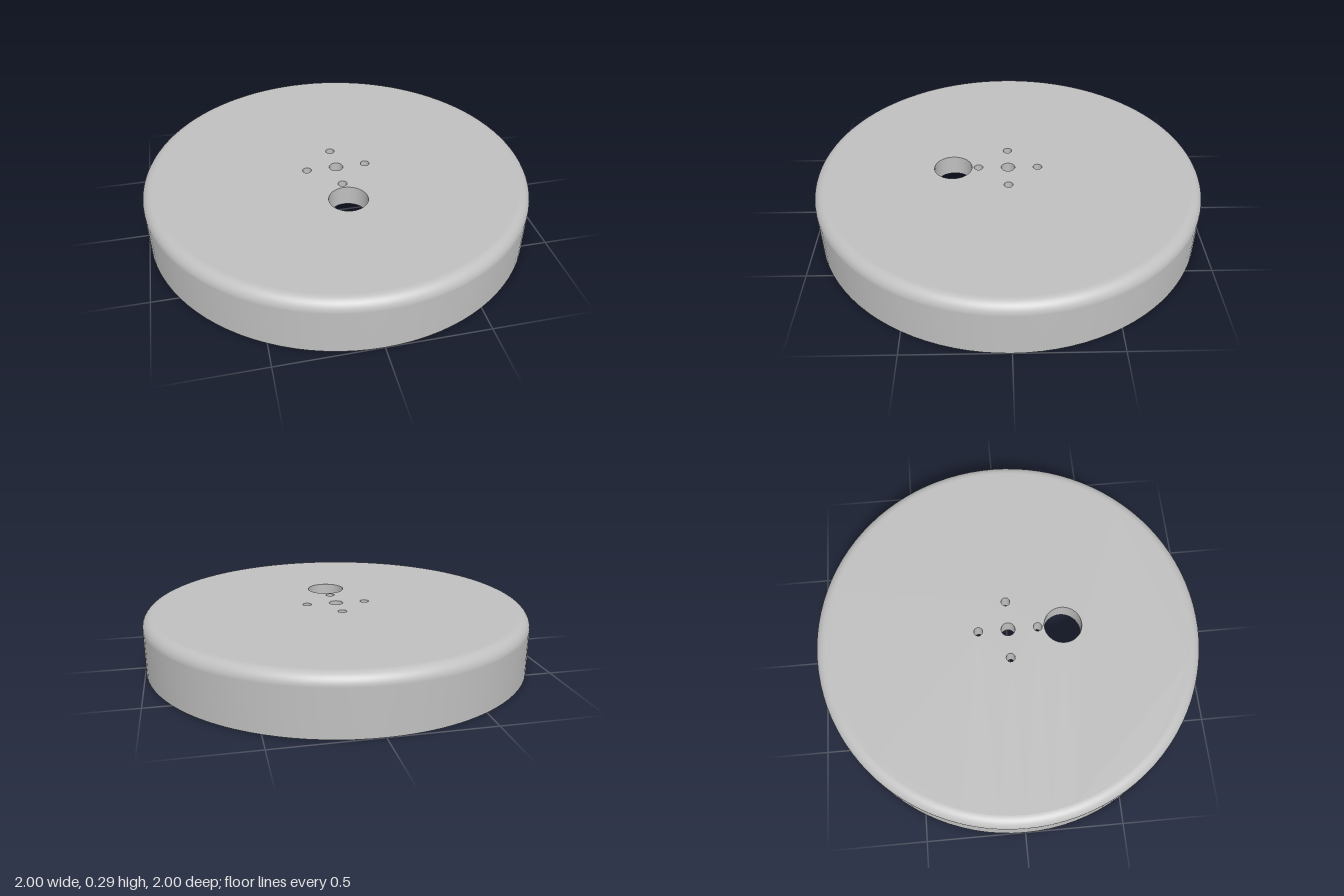
import * as THREE from 'three';

const SEG = 96;         // sides of every circle
const H = 0.288;        // total height
const CEIL = 0.184;     // underside of the top plate
const FILLET = 0.058;   // rounded top edge
const R_IN = 0.942;     // inner wall radius

// Drilled holes: [x, z, radius]
const HOLES = [
  [0, 0, 0.036],
  [0.155, 0, 0.023], [-0.155, 0, 0.023],
  [0, 0.155, 0.023], [0, -0.155, 0.023],
  [0, 0.287, 0.098],
];

export function createModel() {
  const group = new THREE.Group();
  const grey = new THREE.MeshStandardMaterial({ color: 0xc0c0c0 });
  grey.name = 'grey';

  const add = (name, geometry) => {
    const mesh = new THREE.Mesh(geometry, grey);
    mesh.name = name;
    group.add(mesh);
    return mesh;
  };
  const lathe = (...pts) =>
    new THREE.LatheGeometry(pts.map(([x, y]) => new THREE.Vector2(x, y)), SEG);

  // Flat disc with all holes cut out, facing up (side 1) or down (side -1)
  const disc = (radius, y, side) => {
    const shape = new THREE.Shape().absarc(0, 0, radius, 0, Math.PI * 2);
    for (const [x, z, r] of HOLES) {
      shape.holes.push(new THREE.Path().absarc(x, -z * side, r, 0, Math.PI * 2, true));
    }
    return new THREE.ShapeGeometry(shape, SEG / 2)
      .rotateX(-side * Math.PI / 2).translate(0, y, 0);
  };

  // Outer wall running into the rounded top edge
  const profile = [[1, 0]];
  for (let i = 0; i <= 10; i++) {
    const a = (i / 10) * Math.PI / 2;
    profile.push([1 - FILLET + FILLET * Math.cos(a), H - FILLET + FILLET * Math.sin(a)]);
  }
  add('outerWall', lathe(...profile));

  // Top plate faces, inner wall and bottom rim
  add('topFace', disc(1 - FILLET, H, 1));
  add('ceiling', disc(R_IN, CEIL, -1));
  add('innerWall', lathe([R_IN, CEIL], [R_IN, 0]));
  add('bottomRim', lathe([R_IN, 0], [1, 0]));

  // Bores through the plate
  for (const [x, z, r] of HOLES) {
    add('holeWall', lathe([r, H], [r, CEIL])).position.set(x, 0, z);
  }
  return group;
}
